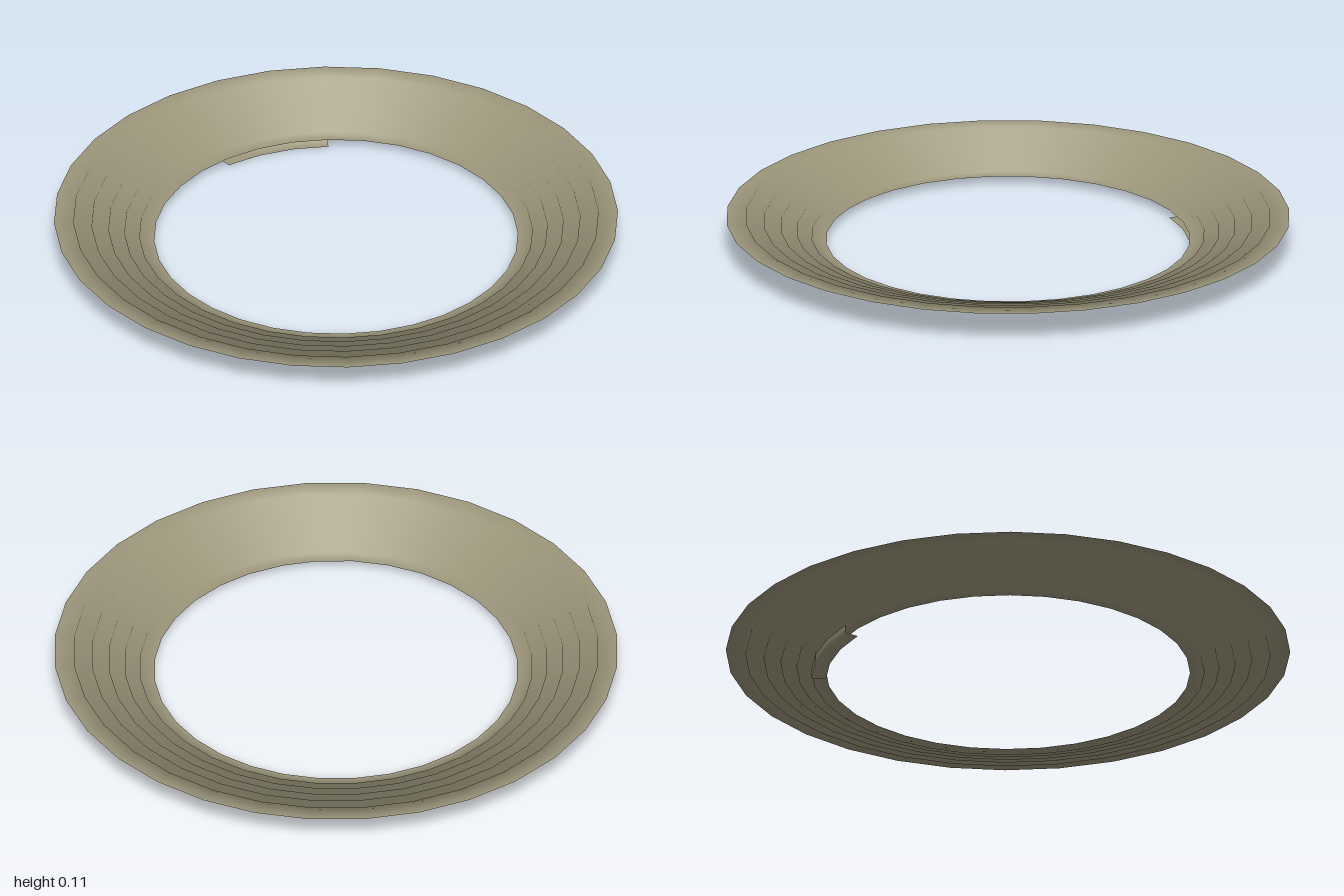
import * as THREE from 'three';

const SIDES = 32;
const STEP = (Math.PI * 2) / SIDES;

// Lathe a stepped profile; shared corners get softly blended normals
function steppedSweep(points, firstSide, sideCount, material, name) {
  const geometry = new THREE.LatheGeometry(
    points.map(([r, y]) => new THREE.Vector2(r, y)),
    sideCount, (firstSide + 0.5) * STEP, sideCount * STEP);
  const normal = geometry.attributes.normal;
  const n = points.length;
  for (let i = 0; i < normal.count; i++) {
    const phi = (firstSide + 0.5 + Math.floor(i / n)) * STEP;
    const k = i % n;
    // sum of the unit normals of the profile edges meeting at this corner
    const v = new THREE.Vector2();
    for (const e of [k - 1, k]) {
      if (e < 0 || e >= n - 1) continue;
      const dx = points[e + 1][0] - points[e][0];
      const dy = points[e + 1][1] - points[e][1];
      v.add(new THREE.Vector2(dy, -dx).normalize());
    }
    v.normalize();
    normal.setXYZ(i, v.x * Math.sin(phi), v.y, v.x * Math.cos(phi));
  }
  const mesh = new THREE.Mesh(geometry, material);
  mesh.name = name;
  return mesh;
}

export function createModel() {
  const group = new THREE.Group();
  group.name = 'steppedRing';
  const stone = new THREE.MeshStandardMaterial({ color: 0x9c967b, side: THREE.DoubleSide });
  stone.name = 'weathered stone';

  // Terraces: flat tread then short riser, from the outer rim inwards
  const radii = [1.005, 0.935, 0.87, 0.81, 0.753, 0.7, 0.648];
  const top = 0.112, bottom = 0.029;
  const rise = (top - bottom) / 5;
  const profile = [[radii[0], top]];
  for (let i = 1; i < 6; i++) {
    profile.push([radii[i], top - (i - 1) * rise], [radii[i], top - i * rise]);
  }
  profile.push([radii[6], bottom]);
  group.add(steppedSweep(profile, 0, SIDES, stone, 'terraces'));

  // Short extra step hanging below the innermost tread
  const lower = [[radii[5], bottom], [radii[5], 0], [radii[6], 0]];
  group.add(steppedSweep(lower, 19, 3, stone, 'lowerStep'));

  return group;
}
